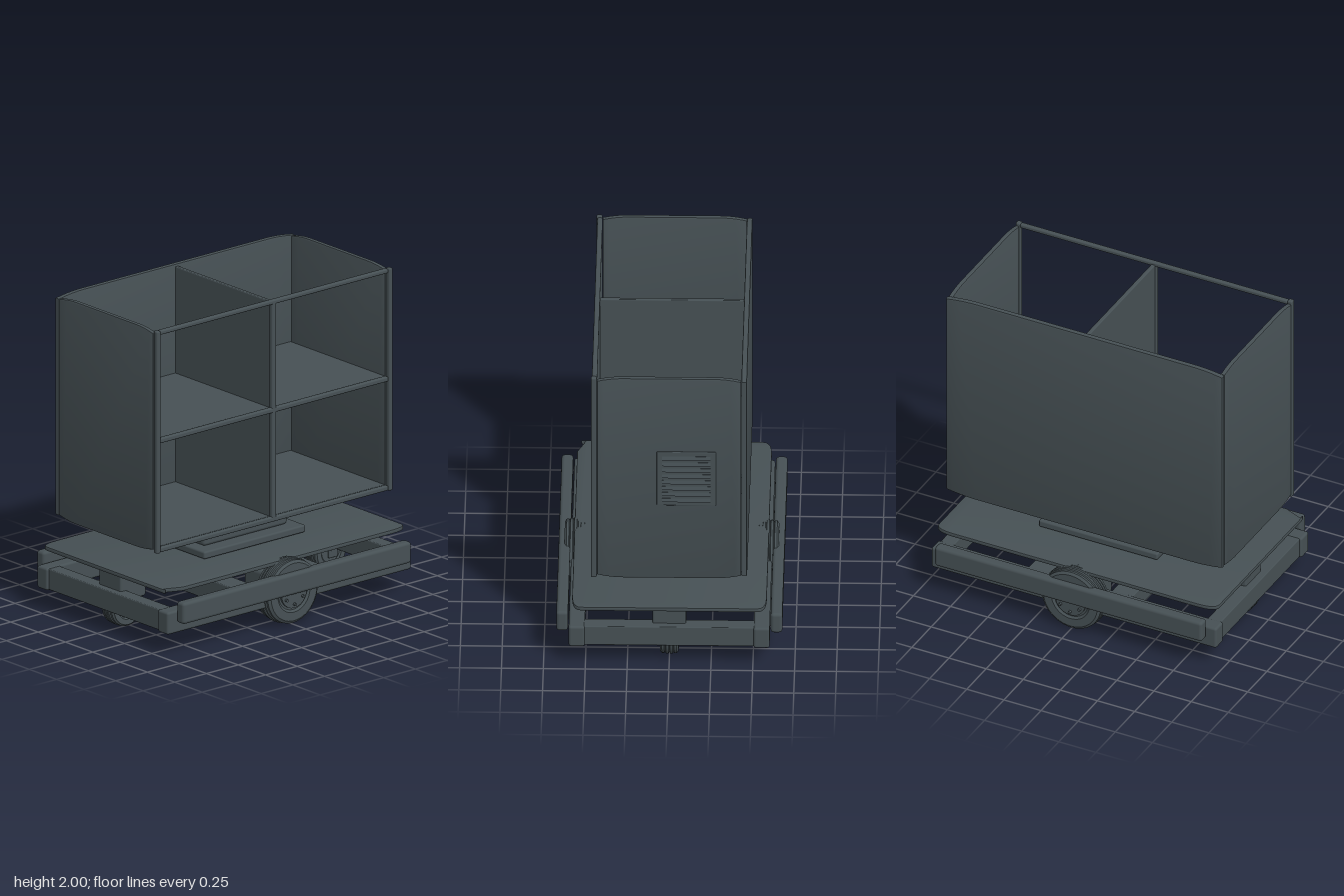
import * as THREE from 'three';
import { RoundedBoxGeometry } from 'three/addons/geometries/RoundedBoxGeometry.js';
import { toCreasedNormals } from 'three/addons/utils/BufferGeometryUtils.js';

export function createModel() {
  const model = new THREE.Group();
  const slate = new THREE.MeshStandardMaterial({ color: 0x465054 });
  slate.name = 'slate grey';

  const add = (name, geometry, x = 0, y = 0, z = 0, parent = model) => {
    const mesh = new THREE.Mesh(geometry, slate);
    mesh.name = name;
    mesh.position.set(x, y, z);
    parent.add(mesh);
    return mesh;
  };
  // Rounded box given by its limits on each axis
  const block = (name, [x0, x1], [y0, y1], [z0, z1], r = 0.008, parent = model) =>
    add(name, new RoundedBoxGeometry(x1 - x0, y1 - y0, z1 - z0, 2, r),
      (x0 + x1) / 2, (y0 + y1) / 2, (z0 + z1) / 2, parent);
  const named = (name) => {
    const group = new THREE.Group();
    group.name = name;
    model.add(group);
    return group;
  };

  // Upright panel with gently bowed top and bottom edges and a soft bevel
  const bowedPanel = (w, h, depth, run) => {
    const b = 0.008, hw = w / 2 - b, hh = h / 2 - b, drop = 0.018;
    const s = new THREE.Shape();
    s.moveTo(-hw, -hh + drop);
    s.quadraticCurveTo(-hw + run * 0.5, -hh, -hw + run, -hh);
    s.lineTo(hw - run, -hh);
    s.quadraticCurveTo(hw - run * 0.5, -hh, hw, -hh + drop);
    s.lineTo(hw, hh - drop);
    s.quadraticCurveTo(hw - run * 0.5, hh, hw - run, hh);
    s.lineTo(-hw + run, hh);
    s.quadraticCurveTo(-hw + run * 0.5, hh, -hw, hh - drop);
    const g = new THREE.ExtrudeGeometry(s, {
      depth: depth - 2 * b, bevelThickness: b, bevelSize: b, bevelSegments: 2, curveSegments: 5,
    });
    g.center();
    return toCreasedNormals(g, 0.6);
  };

  // Cabinet shell: sides, back, floor, shelf and divider, open at front and top
  const cabinet = named('cabinet');
  for (const s of [-1, 1]) {
    add('sidePanel', bowedPanel(0.86, 1.4, 0.03, 0.15).rotateY(Math.PI / 2), s * 0.915, 1.3, 0, cabinet);
    block('frontPost', [s * 0.915 - 0.016, s * 0.915 + 0.016], [0.6, 2], [0.432, 0.468], 0.01, cabinet);
  }
  add('backPanel', bowedPanel(1.86, 1.4, 0.034, 0.2), 0, 1.3, -0.448, cabinet);
  block('floor', [-0.9, 0.9], [0.608, 0.632], [-0.435, 0.43], 0.006, cabinet);
  block('shelf', [-0.9, 0.9], [1.29, 1.316], [-0.435, 0.43], 0.006, cabinet);
  block('divider', [-0.013, 0.013], [0.62, 1.985], [-0.435, 0.43], 0.006, cabinet);
  for (const [y0, y1] of [[0.602, 0.634], [1.288, 1.32], [1.97, 1.998]])
    block('frontRail', [-0.9, 0.9], [y0, y1], [0.43, 0.462], 0.01, cabinet);
  block('middlePost', [-0.018, 0.018], [0.61, 1.99], [0.43, 0.462], 0.01, cabinet);

  // Louvred vent on the left side
  const vent = named('vent');
  block('ventPlate', [0.925, 0.938], [1.115, 1.49], [-0.28, 0.075], 0.006, vent);
  for (let i = 0; i < 8; i++) {
    const slat = add('ventSlat', new THREE.BoxGeometry(0.008, 0.024, 0.29), 0.939, 1.155 + i * 0.042, -0.103, vent);
    slat.rotation.z = 0.25;
  }

  // Turntable between cabinet and deck
  block('turntable', [-0.33, 0.33], [0.45, 0.575], [-0.2, 0.2], 0.02);
  block('turntableFlange', [-0.4, 0.4], [0.405, 0.452], [-0.285, 0.285], 0.012);

  // Deck plate with clipped, softened corners
  const deck = new THREE.Shape();
  const dx = 0.94, dz = 0.575;
  deck.moveTo(-dx, -dz + 0.05);
  for (const [cx, cz, x, z] of [
    [-dx, -dz, -dx + 0.12, -dz], [dx, -dz, dx, -dz + 0.05],
    [dx, dz, dx - 0.12, dz], [-dx, dz, -dx, dz - 0.05],
  ]) {
    // Straight run to the start of the corner, then the curve
    if (cx * cz < 0) deck.lineTo(cx - Math.sign(cx) * (cx > 0 ? 0.12 : 0), cz - Math.sign(cz) * (cx > 0 ? 0 : 0.05));
    deck.quadraticCurveTo(cx, cz, x, z);
    if (cx > 0 && cz < 0) deck.lineTo(dx, dz - 0.05);
    if (cx > 0 && cz > 0) deck.lineTo(-dx + 0.12, dz);
  }
  const deckGeometry = new THREE.ExtrudeGeometry(deck, {
    depth: 0.014, bevelThickness: 0.006, bevelSize: 0.006, bevelSegments: 2, curveSegments: 5,
  });
  deckGeometry.rotateX(Math.PI / 2);
  add('deckPlate', toCreasedNormals(deckGeometry, 0.6), 0, 0.395, 0);

  // Chassis frame
  const chassis = named('chassis');
  for (const s of [-1, 1]) {
    block('longBeam', [-0.96, 0.96], [0.13, 0.27], [s * 0.552 - 0.048, s * 0.552 + 0.048], 0.015, chassis);
    block('endBeam', [s * 0.9 - 0.045, s * 0.9 + 0.045], [0.135, 0.265], [-0.53, 0.53], 0.006, chassis);
    block('crossBeam', [s * 0.28 - 0.07, s * 0.28 + 0.07], [0.135, 0.265], [-0.53, 0.53], 0.006, chassis);
    block('bumper', [-0.9, 0.9], [0.2, 0.335], [s * 0.64 - 0.035, s * 0.64 + 0.035], 0.02, chassis);
  }

  // Wheel turned about the z axis, with a ribbed tyre
  const wheelGeometry = (r, w, ribs) => {
    const pts = [[0, -w * 0.42], [r * 0.55, -w * 0.42], [r * 0.62, -w * 0.5], [r * 0.88, -w * 0.5]];
    for (let i = 0; i < ribs; i++) {
      const y0 = -w * 0.45 + (w * 0.9 * i) / ribs, step = (w * 0.9) / ribs;
      const peak = r - 0.05 * r * Math.abs((i + 0.5) / ribs - 0.5) * 2;
      pts.push([peak - 0.008, y0], [peak, y0 + step * 0.2], [peak, y0 + step * 0.8], [peak - 0.008, y0 + step]);
    }
    pts.push([r * 0.88, w * 0.5], [r * 0.62, w * 0.5], [r * 0.55, w * 0.42], [0, w * 0.42]);
    const g = new THREE.LatheGeometry(pts.map(([x, y]) => new THREE.Vector2(x, y)), 48);
    return toCreasedNormals(g.rotateX(Math.PI / 2), 0.6);
  };
  const disc = (r, d) => new THREE.CylinderGeometry(r, r, d, 24).rotateX(Math.PI / 2);

  // Drive wheels and motor housings, front and back
  for (const s of [-1, 1]) {
    const drive = named('driveWheel');
    drive.position.set(0, 0.205, s * 0.575);
    add('tyre', wheelGeometry(0.205, 0.13, 5), 0, 0, 0, drive);
    add('hub', disc(0.1, 0.03), 0, 0, s * 0.053, drive);
    for (let i = 0; i < 6; i++) {
      const a = (i + 0.5) * Math.PI / 3 + Math.PI / 6 + Math.PI / 6;
      add('hubBolt', disc(0.009, 0.02), Math.cos(a) * 0.075, Math.sin(a) * 0.075, s * 0.073, drive);
    }
    block('motorHousing', [-0.11, 0.11], [0.1, 0.32], [s * 0.41 - 0.11, s * 0.41 + 0.11], 0.03);
  }

  // Casters at the left and right ends
  for (const s of [-1, 1]) {
    const caster = named('caster');
    caster.position.set(s * 0.8, 0, 0);
    add('casterTyre', wheelGeometry(0.128, 0.11, 4), 0, 0.14, 0, caster);
    add('casterAxle', disc(0.022, 0.15), 0, 0.14, 0, caster);
    block('casterMount', [-0.1, 0.1], [0.2, 0.378], [-0.1, 0.1], 0.012, caster);
    for (const z of [-0.066, 0.066])
      block('casterFork', [-0.035, 0.035], [0.105, 0.22], [z - 0.008, z + 0.008], 0.006, caster);
  }

  return model;
}
